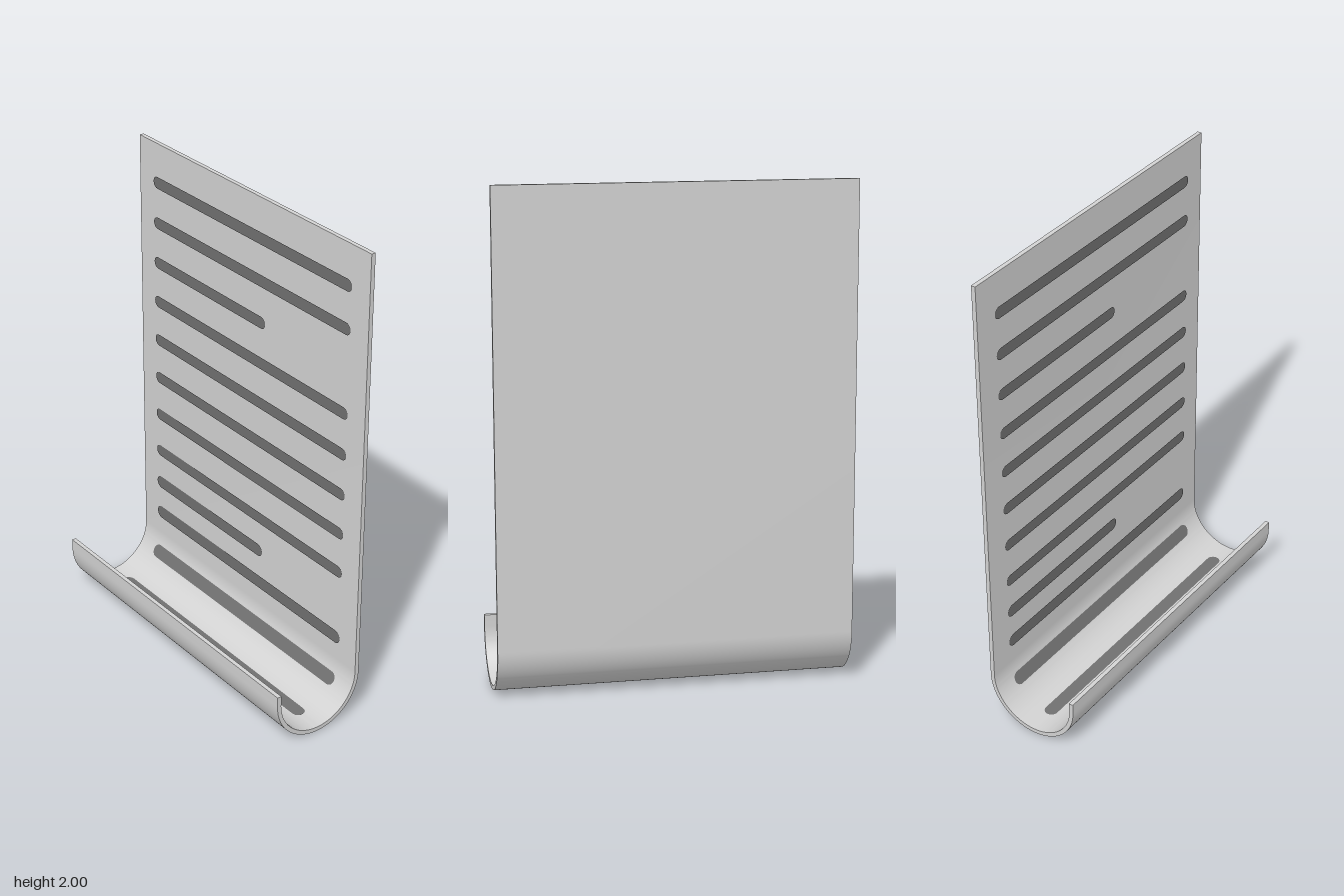
import * as THREE from 'three';
import { toCreasedNormals } from 'three/addons/utils/BufferGeometryUtils.js';

const WIDTH = 1.42, HEIGHT = 2, LIP = 0.245;
const R = 0.2025, THICK = 0.018, r = R - THICK; // outer and inner curl radius

export function createModel() {
  const paper = new THREE.MeshStandardMaterial({ color: 0xd2d2d2 });
  paper.name = 'paper grey';
  const ink = new THREE.MeshStandardMaterial({ color: 0x707070, side: THREE.DoubleSide });
  ink.name = 'line grey';

  const model = new THREE.Group();
  model.name = 'curledPage';

  // Page: J-shaped profile swept across the width
  const profile = new THREE.Shape();
  profile.moveTo(-R, HEIGHT);
  profile.lineTo(-R, R);
  profile.absarc(0, R, R, Math.PI, 2 * Math.PI, false);
  profile.lineTo(R, LIP);
  profile.lineTo(r, LIP);
  profile.lineTo(r, R);
  profile.absarc(0, R, r, 2 * Math.PI, Math.PI, true);
  profile.lineTo(-r, HEIGHT);
  profile.closePath();
  let sheetGeo = new THREE.ExtrudeGeometry(profile, { depth: WIDTH, bevelEnabled: false, curveSegments: 32 });
  sheetGeo.rotateY(-Math.PI / 2);
  sheetGeo.translate(WIDTH / 2, 0, 0);
  sheetGeo = toCreasedNormals(sheetGeo, 0.5);
  const sheet = new THREE.Mesh(sheetGeo, paper);
  sheet.name = 'page';
  model.add(sheet);

  // Text lines: round-ended strips lying just off the inner face
  const LEFT = -0.613, LONG = 0.615, SHORT = 0.115;
  function lineGeometry(right, height) {
    const h = height / 2;
    const s = new THREE.Shape();
    s.moveTo(LEFT + h, -h);
    s.lineTo(right - h, -h);
    s.absarc(right - h, 0, h, -Math.PI / 2, Math.PI / 2, false);
    s.lineTo(LEFT + h, h);
    s.absarc(LEFT + h, 0, h, Math.PI / 2, Math.PI * 1.5, false);
    return new THREE.ShapeGeometry(s, 8);
  }
  const d = r - 0.004;
  // angle: 0 on the upright wall, 90 degrees at the bottom of the curl
  function addLine(right, height, y, angle = 0) {
    const line = new THREE.Mesh(lineGeometry(right, height), ink);
    line.name = 'textLine';
    line.position.set(0, y, -d * Math.cos(angle));
    line.rotation.x = -angle;
    model.add(line);
  }

  // Lines on the upright wall
  for (let i = 0; i < 8; i++) addLine(i === 2 ? SHORT : LONG, 0.05, 1.835 - i * 0.175);
  addLine(SHORT, 0.055, 0.455);
  addLine(LONG, 0.057, 0.305);

  // Lines inside the curl
  for (const [deg, right] of [[29, LONG], [90, LONG], [148, SHORT]]) {
    const a = THREE.MathUtils.degToRad(deg);
    addLine(right, 0.056, R - d * Math.sin(a), a);
  }

  model.rotation.y = THREE.MathUtils.degToRad(-20);
  return model;
}
